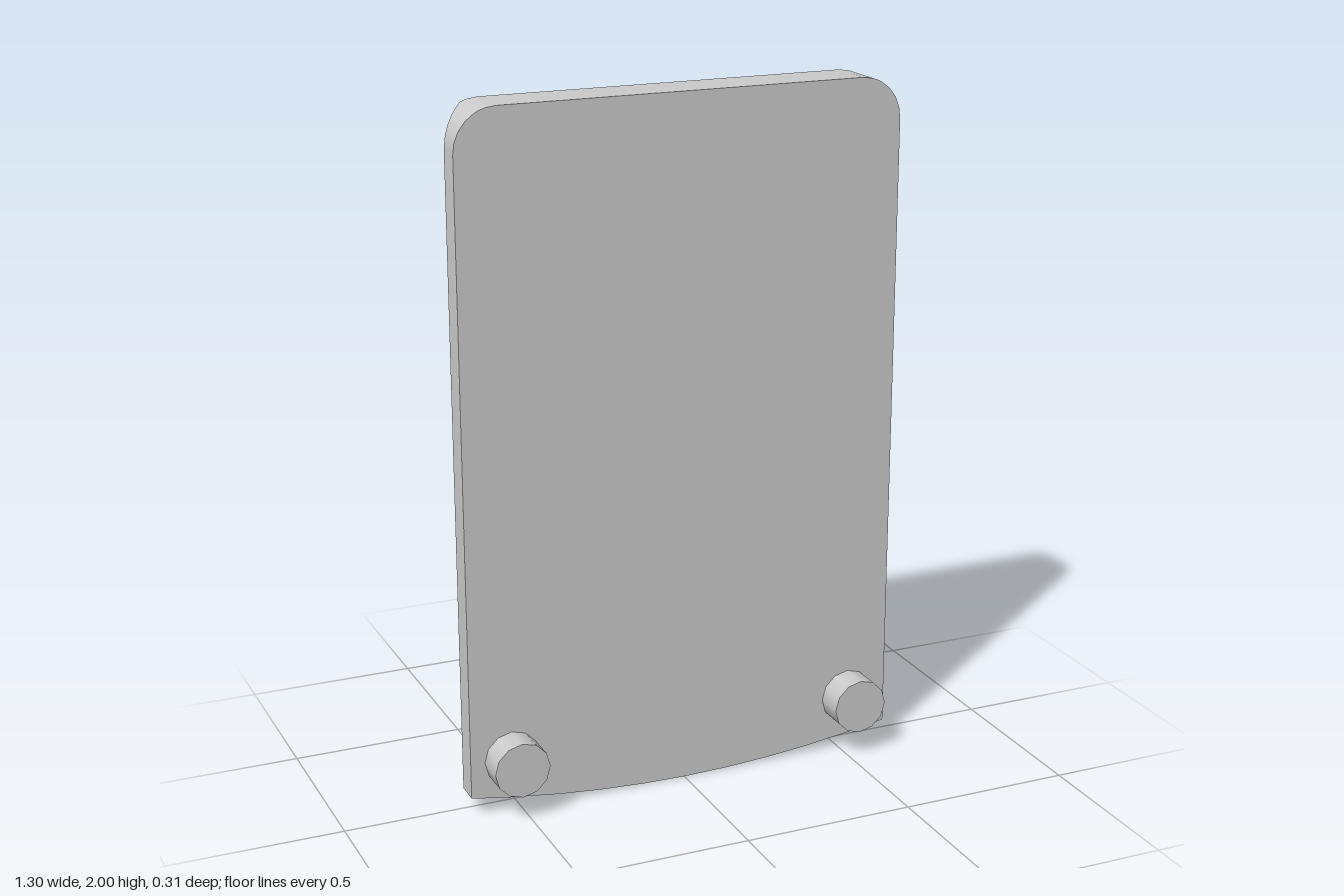
import * as THREE from 'three';
import { toCreasedNormals } from 'three/addons/utils/BufferGeometryUtils.js';

const HALF_W = 0.65, RADIUS = 0.12, FRONT = 0.067, BACK = -0.076, RAIL_BACK = -0.154;

// 45 degree bevel along both sides of the back
const bevelZ = (x) => -0.004 - (HALF_W - Math.abs(x));

// Skin four-cornered sections along x: front bottom, front top, back top, back bottom
function loft(sections) {
  const pos = [], index = [];
  sections.forEach((s) => pos.push(...s.flat()));
  for (let i = 0; i < sections.length - 1; i++) {
    for (let j = 0; j < 4; j++) {
      const k = (j + 1) % 4;
      const a = i * 4 + j, b = a + 4, c = i * 4 + 4 + k, d = i * 4 + k;
      index.push(a, b, c, a, c, d);
    }
  }
  const e = (sections.length - 1) * 4;
  index.push(0, 1, 2, 0, 2, 3, e, e + 3, e + 2, e, e + 2, e + 1);
  const geo = new THREE.BufferGeometry();
  geo.setAttribute('position', new THREE.Float32BufferAttribute(pos, 3));
  geo.setIndex(index);
  return toCreasedNormals(geo, Math.PI / 6);
}

export function createModel() {
  const group = new THREE.Group();
  const material = new THREE.MeshStandardMaterial({ color: 0xcccccc });
  const add = (name, geometry) => {
    const mesh = new THREE.Mesh(geometry, material);
    mesh.name = name;
    group.add(mesh);
    return mesh;
  };

  // Plate: rounded top corners, gently bowed bottom, bevelled back edges
  const inner = HALF_W - RADIUS;
  const half = [0.13, 0.26, 0.39, inner, HALF_W + BACK + 0.004 + 0.0];
  half[4] = HALF_W + BACK + 0.004;
  for (let i = 1; i <= 6; i++) half.push(inner + RADIUS * Math.sin((i / 6) * Math.PI / 2));
  half.sort((a, b) => a - b);
  const xs = [...half.map((x) => -x).reverse(), 0, ...half];
  add('plate', loft(xs.map((x) => {
    const dx = Math.max(0, Math.abs(x) - inner);
    const top = 2 - RADIUS + Math.sqrt(Math.max(0, RADIUS * RADIUS - dx * dx));
    const bottom = 0.06 * (x / HALF_W) ** 2;
    const back = Math.max(BACK, bevelZ(x));
    return [[x, bottom, FRONT], [x, top, FRONT], [x, top, back], [x, bottom, back]];
  })));

  // Hanging rail: undercut top edge, ends continuing the bevel
  const wide = HALF_W + BACK + 0.004, narrow = HALF_W + RAIL_BACK + 0.004;
  add('hookRail', loft([-wide, -narrow, narrow, wide].map((x) => {
    const back = Math.max(RAIL_BACK, bevelZ(x));
    const t = (BACK - back) / (BACK - RAIL_BACK);
    return [[x, 1.405, BACK], [x, 1.66, BACK], [x, 1.66 + 0.032 * t, back], [x, 1.405 - 0.004 * t, back]];
  })));

  // Pegs on the lower front corners
  for (const side of [-1, 1]) {
    const depth = 0.154 - FRONT;
    const peg = add(side < 0 ? 'rightPeg' : 'leftPeg', new THREE.CylinderGeometry(0.081, 0.081, depth, 12));
    peg.rotation.x = Math.PI / 2;
    peg.position.set(side * 0.527, 0.16, FRONT + depth / 2);
  }
  return group;
}
